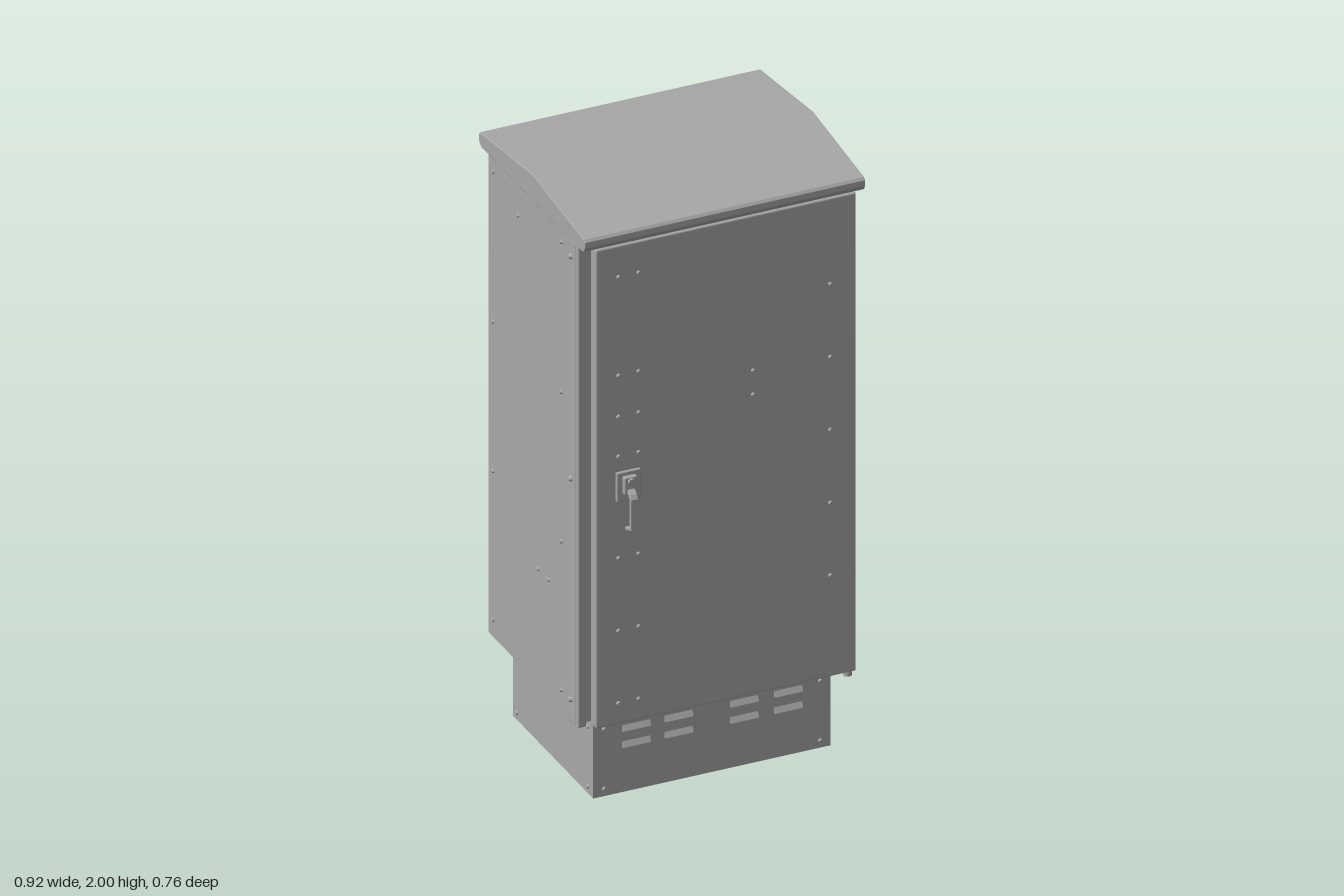
import * as THREE from 'three';
import { RoundedBoxGeometry } from 'three/addons/geometries/RoundedBoxGeometry.js';

export function createModel() {
  const root = new THREE.Group();
  root.name = 'streetCabinet';
  const steel = new THREE.MeshStandardMaterial({ color: 0xa8a8a8 });
  steel.name = 'grey steel';

  function add(name, geometry, parent = root) {
    const mesh = new THREE.Mesh(geometry, steel);
    mesh.name = name;
    parent.add(mesh);
    return mesh;
  }
  // Box given by its limits on each axis, optionally with rounded edges
  function box(name, x0, x1, y0, y1, z0, z1, radius = 0, parent = root) {
    const w = x1 - x0, h = y1 - y0, d = z1 - z0;
    const geo = radius ? new RoundedBoxGeometry(w, h, d, 2, radius) : new THREE.BoxGeometry(w, h, d);
    geo.translate((x0 + x1) / 2, (y0 + y1) / 2, (z0 + z1) / 2);
    return add(name, geo, parent);
  }
  // Profile in (z, y) extruded across x, centred on x = cx
  function acrossX(points, width, cx, bevel = 0) {
    const shape = new THREE.Shape(points.map(([z, y]) => new THREE.Vector2(z, y)));
    const depth = width - 2 * bevel;
    const geo = new THREE.ExtrudeGeometry(shape, {
      depth, bevelEnabled: bevel > 0, bevelSize: bevel, bevelThickness: bevel, bevelOffset: -bevel, bevelSegments: 2,
    });
    geo.translate(0, 0, -depth / 2);
    geo.rotateY(-Math.PI / 2);
    geo.translate(cx, 0, 0);
    return geo;
  }

  // Plinth and main housing
  box('plinth', -0.39, 0.39, 0, 0.275, -0.29, 0.275);
  box('housing', -0.445, 0.445, 0.27, 1.9, -0.345, 0.205);
  box('frontFrame', -0.42, 0.42, 0.275, 1.895, 0.2, 0.29);
  box('roofNeck', -0.435, 0.435, 1.895, 1.92, -0.31, 0.3);

  // Side strips beside the door, each with a folded front flange
  for (const s of [-1, 1]) {
    const side = s < 0 ? 'right' : 'left';
    const xs = [s * 0.42, s * 0.451].sort((a, b) => a - b);
    box(side + 'SideStrip', xs[0], xs[1], 0.262, 1.9, 0.208, 0.28, 0.004);
    box(side + 'StripFlange', xs[0] + 0.002, xs[1] - 0.002, 0.262, 1.9, 0.278, 0.296, 0.004);
  }

  // Door, its edge seal and bottom hinge lug
  box('doorSeal', -0.4, 0.435, 0.28, 1.885, 0.285, 0.302);
  box('door', -0.41, 0.446, 0.27, 1.896, 0.299, 0.336, 0.006);
  const lug = add('hingeLug', new THREE.CylinderGeometry(0.014, 0.014, 0.03, 12));
  lug.position.set(0.428, 0.265, 0.312);

  // Pitched roof with a rounded lip
  add('roof', acrossX([
    [0.352, 1.911], [0.362, 1.917], [0.367, 1.93], [0.367, 1.949], [0.36, 1.957],
    [0, 2], [-0.372, 1.958], [-0.38, 1.95], [-0.38, 1.93], [-0.374, 1.917], [-0.362, 1.911],
  ], 0.922, 0, 0.003));

  // Louvres on the front and back of the plinth
  const louvres = new THREE.Group();
  louvres.name = 'louvres';
  root.add(louvres);
  for (const front of [true, false]) {
    const z = front ? 0.275 : -0.29;
    const out = front ? 0.009 : -0.009;
    for (const x of [-0.25, -0.11, 0.105, 0.25]) {
      for (const y of [0.213, 0.158]) {
        const profile = [[z, y + 0.014], [z + out, y - 0.004], [z, y - 0.004]];
        add('louvre', acrossX(profile, 0.092, x), louvres);
      }
    }
  }

  // Domed bolt heads; each face is a list of [across, height]
  const bolts = new THREE.Group();
  bolts.name = 'bolts';
  root.add(bolts);
  const boltGeo = new THREE.CylinderGeometry(0.0045, 0.0075, 0.007, 10);
  boltGeo.translate(0, 0.003, 0);
  function bolt(x, y, z, face, scale = 1) {
    const mesh = add('bolt', boltGeo, bolts);
    mesh.position.set(x, y, z);
    if (face === 'front') mesh.rotation.x = Math.PI / 2;
    if (face === 'back') mesh.rotation.x = -Math.PI / 2;
    if (face === 'left') mesh.rotation.z = -Math.PI / 2;
    if (face === 'right') mesh.rotation.z = Math.PI / 2;
    mesh.scale.setScalar(scale);
  }
  for (const y of [1.79, 1.455, 1.315, 1.18, 0.835, 0.588, 0.342])
    for (const x of [-0.336, -0.27]) bolt(x, y, 0.336, 'front');
  for (const y of [1.605, 1.357, 1.11, 0.862, 0.615]) bolt(0.36, y, 0.336, 'front');
  for (const y of [1.37, 1.288]) bolt(0.106, y, 0.336, 'front');

  for (const y of [1.852, 1.343, 0.835, 0.33])
    for (const x of [-0.41, 0.41]) bolt(x, y, -0.345, 'back');
  for (const [x, y] of [[0.3, 1.615], [-0.29, 1.615], [0.3, 0.515], [0.23, 0.515], [-0.29, 0.515]])
    bolt(x, y, -0.345, 'back');

  for (const [s, face] of [[-1, 'right'], [1, 'left']]) {
    for (const y of [1.852, 1.343, 0.835, 0.33])
      for (const z of [0.17, -0.31]) bolt(s * 0.445, y, z, face);
    for (const [z, y] of [[-0.135, 1.79], [0.08, 0.66], [0.007, 0.66]]) bolt(s * 0.445, y, z, face);
    for (const y of [1.845, 1.09, 0.34]) bolt(s * 0.451, y, 0.25, face, 1.4);
    // Plinth corner bolts
    for (const y of [0.228, 0.025]) {
      bolt(s * 0.355, y, 0.275, 'front');
      bolt(s * 0.355, y, -0.29, 'back');
      for (const z of [0.24, -0.26]) bolt(s * 0.39, y, z, face);
    }
  }

  // Door handle: base plate, pivot housing and swing lever
  const handle = new THREE.Group();
  handle.name = 'doorHandle';
  root.add(handle);
  box('handlePlate', -0.345, -0.265, 1.028, 1.128, 0.333, 0.345, 0.004, handle);
  box('pivotHousing', -0.327, -0.283, 1.055, 1.115, 0.342, 0.36, 0.005, handle);
  const lock = add('lockBarrel', new THREE.CylinderGeometry(0.011, 0.011, 0.012, 16), handle);
  lock.rotation.x = Math.PI / 2;
  lock.position.set(-0.305, 1.1, 0.362);
  add('handleLever', acrossX([
    [0.345, 1.085], [0.376, 1.063], [0.385, 1.05], [0.385, 0.945], [0.34, 0.929],
    [0.34, 0.939], [0.375, 0.952], [0.375, 1.045], [0.368, 1.054], [0.345, 1.07],
  ], 0.025, -0.305, 0.002), handle);
  return root;
}
